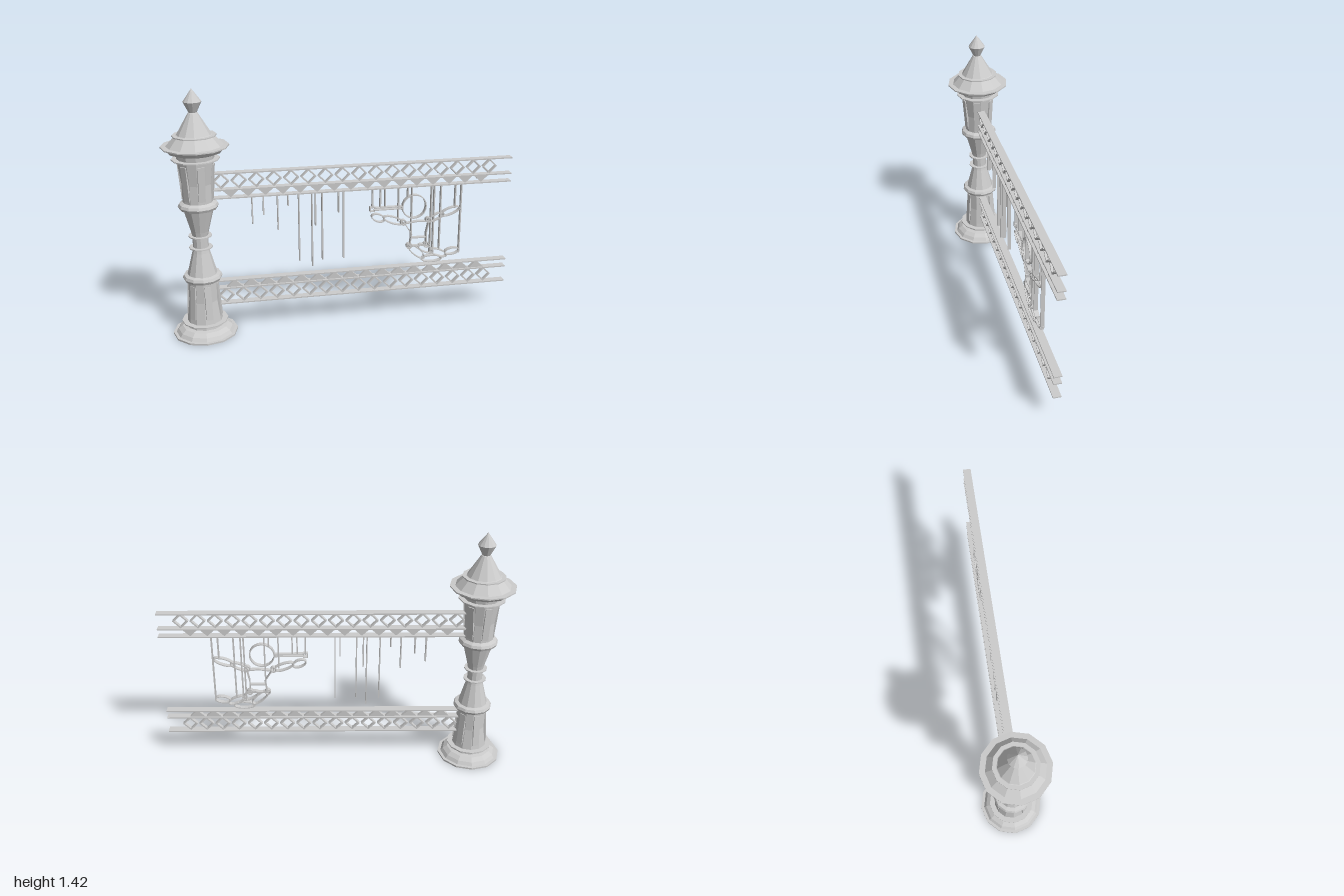
import * as THREE from 'three';

const mat = new THREE.MeshStandardMaterial({ color: 0xcccccc, flatShading: true, side: THREE.DoubleSide });
const POST_X = -0.815, MID_Y = 0.5625;

function add(parent, name, geometry, x = 0, y = 0, z = 0) {
  const mesh = new THREE.Mesh(geometry, mat);
  mesh.name = name;
  mesh.position.set(x, y, z);
  parent.add(mesh);
  return mesh;
}

// Extrude a flat shape so that it is centred on z = 0
function slab(shape, depth) {
  return new THREE.ExtrudeGeometry(shape, { depth, bevelEnabled: false, curveSegments: 10 }).translate(0, 0, -depth / 2);
}

function polygon(points) {
  return new THREE.Shape(points.map(([x, y]) => new THREE.Vector2(x, y)));
}

// Hollow ellipse with a thin rim
function ellipseRing(rx, ry, rim, depth) {
  const shape = new THREE.Shape().absellipse(0, 0, rx, ry, 0, Math.PI * 2);
  shape.holes.push(new THREE.Path().absellipse(0, 0, rx - rim, ry - rim, 0, Math.PI * 2));
  return slab(shape, depth);
}

function createPost() {
  const post = new THREE.Group();
  post.name = 'post';
  post.position.x = POST_X;
  // Turned body, as radius and height pairs
  const profile = [
    [0, 0], [0.185, 0], [0.185, 0.01], [0.168, 0.011], [0.155, 0.03], [0.13, 0.048], [0.105, 0.052], [0.1, 0.09],
    [0.084, 0.21], [0.084, 0.325], [0.105, 0.335], [0.112, 0.35], [0.105, 0.365], [0.084, 0.37],
    [0.05, 0.5], [0.044, 0.53], [0.044, 0.595], [0.05, 0.625],
    [0.084, 0.755], [0.105, 0.76], [0.112, 0.775], [0.105, 0.79], [0.084, 0.8], [0.084, 0.905],
    [0.1, 1.03], [0.105, 1.07], [0.15, 1.085], [0.168, 1.108], [0.185, 1.11], [0.185, 1.117], [0.155, 1.118],
    [0.105, 1.172], [0.095, 1.178], [0.026, 1.295], [0.022, 1.297], [0.05, 1.355], [0, 1.425],
  ];
  add(post, 'turnedBody', new THREE.LatheGeometry(profile.map(([r, y]) => new THREE.Vector2(r, y)), 12));
  // Thin collars
  for (const [r, y] of [[0.132, 0.08], [0.066, 0.528], [0.066, 0.597], [0.132, 1.043], [0.12, 1.173]]) {
    add(post, 'collar', new THREE.CylinderGeometry(r, r, 0.006, 12), 0, y);
  }
  // Raised slats around the lower and upper shafts
  for (let i = 0; i < 12; i += 2) {
    const turn = new THREE.Group();
    turn.name = 'slats';
    turn.rotation.y = (i + 0.5) * Math.PI / 6;
    post.add(turn);
    for (const [y, lean] of [[0.21, -1], [0.915, 1]]) {
      add(turn, 'slat', new THREE.BoxGeometry(0.038, 0.2, 0.014), 0, y, 0.086).rotation.x = lean * 0.075;
    }
  }
  return post;
}

// Lattice beam, drawn as the lower one; side = -1 mirrors it upward
function createBeam(name, side) {
  const beam = new THREE.Group();
  beam.name = name;
  const up = (y) => MID_Y + side * (y - MID_Y);
  for (const y of [0.172, 0.267, 0.314]) {
    add(beam, 'rail', new THREE.BoxGeometry(1.74, 0.007, 0.045), 0.13, up(y));
  }
  const rhomb = (r) => [[-r, 0], [0, -r], [r, 0], [0, r]];
  const diamond = polygon(rhomb(0.045));
  diamond.holes.push(polygon(rhomb(0.034)));
  const diamondGeo = slab(diamond, 0.022);
  const toothGeo = slab(polygon([[-0.047, -0.022 * side], [0.047, -0.022 * side], [0, 0.022 * side]]), 0.02);
  for (let i = 0; i < 17; i++) {
    const x = -0.685 + i * 0.097;
    add(beam, 'diamond', diamondGeo, x, up(0.219));
    if (i < 16) add(beam, 'tooth', toothGeo, x + 0.0485, up(0.291));
  }
  return beam;
}

// Bars hanging from the upper beam: x and lower end
function createBars() {
  const bars = new THREE.Group();
  bars.name = 'hangingBars';
  const list = [
    [-0.52, 0.645], [-0.457, 0.695], [-0.377, 0.6], [-0.318, 0.74], [-0.257, 0.397], [-0.182, 0.36], [-0.162, 0.61],
    [-0.123, 0.397], [-0.028, 0.68], [0, 0.397],
    [0.17, 0.69], [0.217, 0.695], [0.245, 0.695], [0.325, 0.6], [0.38, 0.74], [0.405, 0.49],
    [0.523, 0.38], [0.54, 0.4], [0.58, 0.4], [0.668, 0.66], [0.704, 0.375],
  ];
  for (const [x, end] of list) {
    add(bars, 'bar', new THREE.BoxGeometry(0.007, 0.81 - end, 0.022), x, (0.81 + end) / 2);
  }
  return bars;
}

// Leaping figure made of hollow outlines
function createFigure() {
  const figure = new THREE.Group();
  figure.name = 'outlineFigure';
  const rim = 0.006, depth = 0.026;
  add(figure, 'head', ellipseRing(0.074, 0.074, rim, depth), 0.42, 0.685);

  const torso = polygon([[0.36, 0.585], [0.44, 0.595], [0.515, 0.59], [0.5, 0.515], [0.502, 0.435], [0.395, 0.435], [0.405, 0.515]]);
  torso.holes.push(polygon([[0.37, 0.58], [0.44, 0.589], [0.508, 0.584], [0.494, 0.515], [0.496, 0.441], [0.401, 0.441], [0.411, 0.515]]));
  add(figure, 'torso', slab(torso, depth));
  add(figure, 'belt', new THREE.BoxGeometry(0.095, 0.006, depth), 0.45, 0.49);

  const horn = polygon([[0.155, 0.67], [0.185, 0.67], [0.185, 0.676], [0.347, 0.676], [0.347, 0.694], [0.185, 0.694], [0.185, 0.7], [0.155, 0.7]]);
  horn.holes.push(polygon([[0.16, 0.675], [0.18, 0.675], [0.18, 0.681], [0.342, 0.681], [0.342, 0.689], [0.18, 0.689], [0.18, 0.695], [0.16, 0.695]]));
  add(figure, 'heldBar', slab(horn, depth));

  // Limb segments: both ends and width
  const limbs = [
    ['rightUpperArm', 0.36, 0.585, 0.235, 0.63, 0.046], ['rightHand', 0.245, 0.612, 0.165, 0.645, 0.05],
    ['leftUpperArm', 0.505, 0.59, 0.605, 0.632, 0.04], ['leftForearm', 0.58, 0.62, 0.7, 0.662, 0.046],
    ['rightThigh', 0.39, 0.445, 0.49, 0.355, 0.05], ['rightFoot', 0.47, 0.35, 0.6, 0.348, 0.046],
    ['leftThigh', 0.45, 0.44, 0.545, 0.39, 0.05], ['leftShin', 0.525, 0.405, 0.63, 0.36, 0.046],
    ['leftFoot', 0.615, 0.38, 0.708, 0.394, 0.046],
  ];
  for (const [name, x1, y1, x2, y2, w] of limbs) {
    const ring = ellipseRing(Math.hypot(x2 - x1, y2 - y1) / 2, w / 2, rim, depth);
    add(figure, name, ring, (x1 + x2) / 2, (y1 + y2) / 2).rotation.z = Math.atan2(y2 - y1, x2 - x1);
  }
  for (const [x, y] of [[0.357, 0.59], [0.508, 0.597], [0.395, 0.44], [0.5, 0.44]]) {
    add(figure, 'joint', ellipseRing(0.018, 0.018, rim, depth), x, y);
  }
  return figure;
}

export function createModel() {
  const model = new THREE.Group();
  model.name = 'balustrade';
  model.add(createPost(), createBeam('lowerBeam', 1), createBeam('upperBeam', -1), createBars(), createFigure());
  return model;
}
